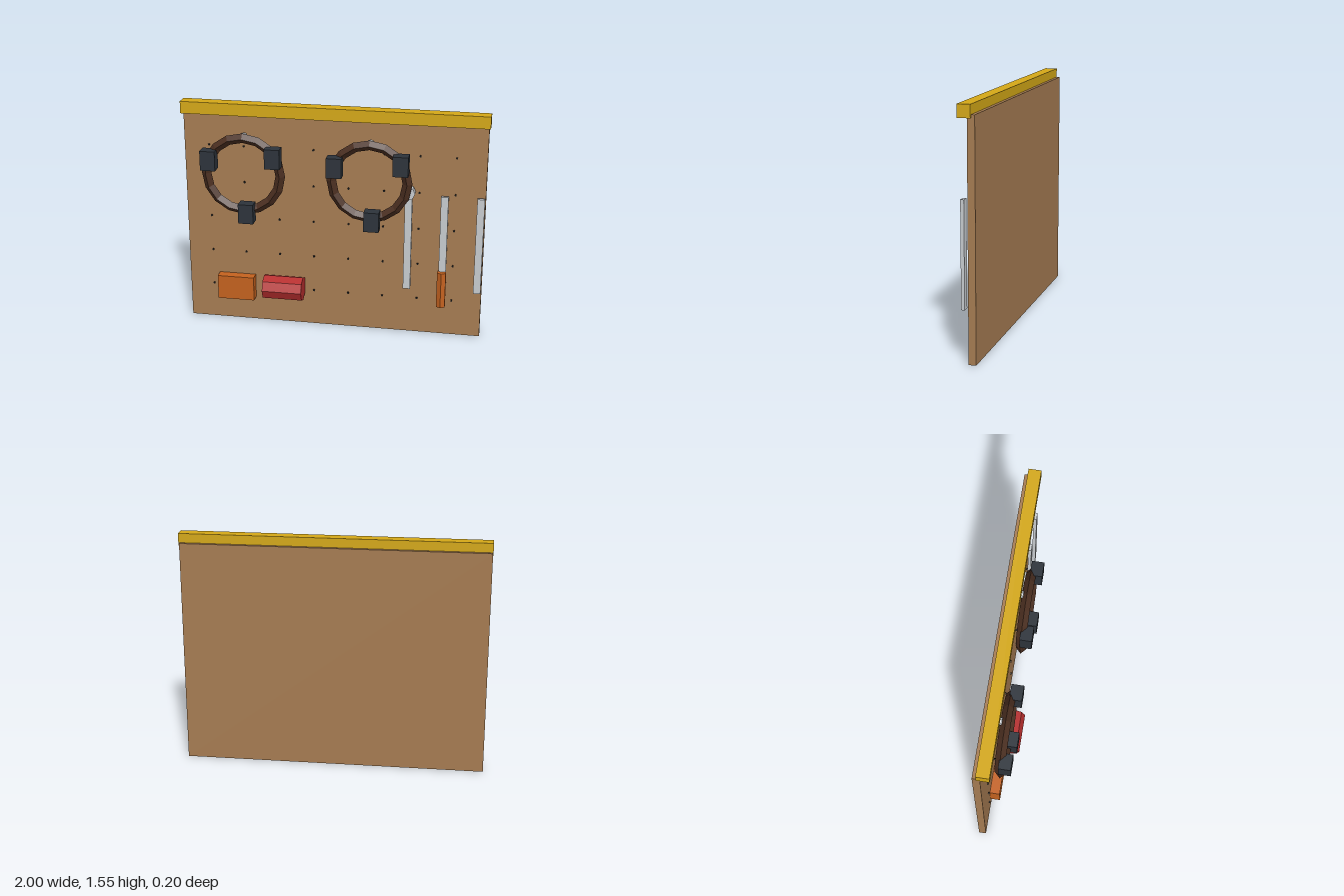
import * as THREE from 'three';

const paint = (color) => new THREE.MeshStandardMaterial({ color, flatShading: true });

export function createModel() {
  const model = new THREE.Group();
  model.name = 'toolBoard';
  const wood = paint(0xa67c52), yellow = paint(0xd4a817), leather = paint(0x4a2e20);
  const dark = paint(0x2d333b), orange = paint(0xc4621f), red = paint(0xb52d2d);
  const steel = paint(0xc8ccd0), black = paint(0x1a1a1a);

  const add = (name, geometry, material, x, y, z, parent = model) => {
    const mesh = new THREE.Mesh(geometry, material);
    mesh.name = name;
    mesh.position.set(x, y, z);
    parent.add(mesh);
    return mesh;
  };
  // Box given by its minimum and maximum corners
  const box = (name, material, a, b, parent) => add(name,
    new THREE.BoxGeometry(b[0] - a[0], b[1] - a[1], b[2] - a[2]), material,
    (a[0] + b[0]) / 2, (a[1] + b[1]) / 2, (a[2] + b[2]) / 2, parent);

  // Back board and top rail
  box('board', wood, [-0.997, 0, -0.1], [0.99, 1.49, -0.053]);
  box('topRail', yellow, [-1, 1.47, -0.077], [1, 1.55, 0.005]);

  // Grid of peg holes
  const pegGeometry = new THREE.CylinderGeometry(0.007, 0.007, 0.012, 6).rotateX(Math.PI / 2);
  for (let row = 0; row < 5; row++) {
    for (let col = 0; col < 8; col++) {
      add('pegHole', pegGeometry, black, -0.832 + col * 0.2325, 0.25 + row * 0.25, -0.051);
    }
  }

  // Two hanging rings, each with three clamps and a hook behind the top
  const hookGeometry = new THREE.CylinderGeometry(0.025, 0.025, 0.03, 8).rotateX(Math.PI / 2);
  for (const x of [-0.585, 0.245]) {
    const ring = new THREE.Group();
    ring.name = 'hangingRing';
    ring.position.set(x, 1.085, 0.031);
    model.add(ring);
    add('ring', new THREE.TorusGeometry(0.247, 0.032, 4, 16), leather, 0, 0, 0, ring);
    for (const [cx, cy] of [[-0.22, 0.1], [0.207, 0.135], [0.025, -0.253]]) {
      add('clamp', new THREE.BoxGeometry(0.1, 0.132, 0.078), dark, cx, cy, 0.033, ring);
    }
    add('hook', hookGeometry, steel, 0, 0.245, -0.036, ring);
  }

  // Row of steel tools
  for (const x of [0.497, 0.73, 0.962]) {
    box('toolShaft', steel, [x - 0.024, 0.333, -0.03], [x + 0.024, 0.996, -0.008]);
  }
  add('wrenchHead', new THREE.CylinderGeometry(0.047, 0.047, 0.046, 8).rotateX(Math.PI / 2),
    steel, 0.493, 1.013, -0.01);
  add('driverHandle', new THREE.CylinderGeometry(0.033, 0.033, 0.247, 6), orange, 0.728, 0.35, -0.003);

  // Small box and canister near the bottom
  box('partsBox', orange, [-0.79, 0.168, -0.06], [-0.54, 0.335, 0.013]);
  add('canister', new THREE.CylinderGeometry(0.083, 0.083, 0.267, 8).rotateZ(Math.PI / 2),
    red, -0.332, 0.282, 0.012);

  return model;
}
